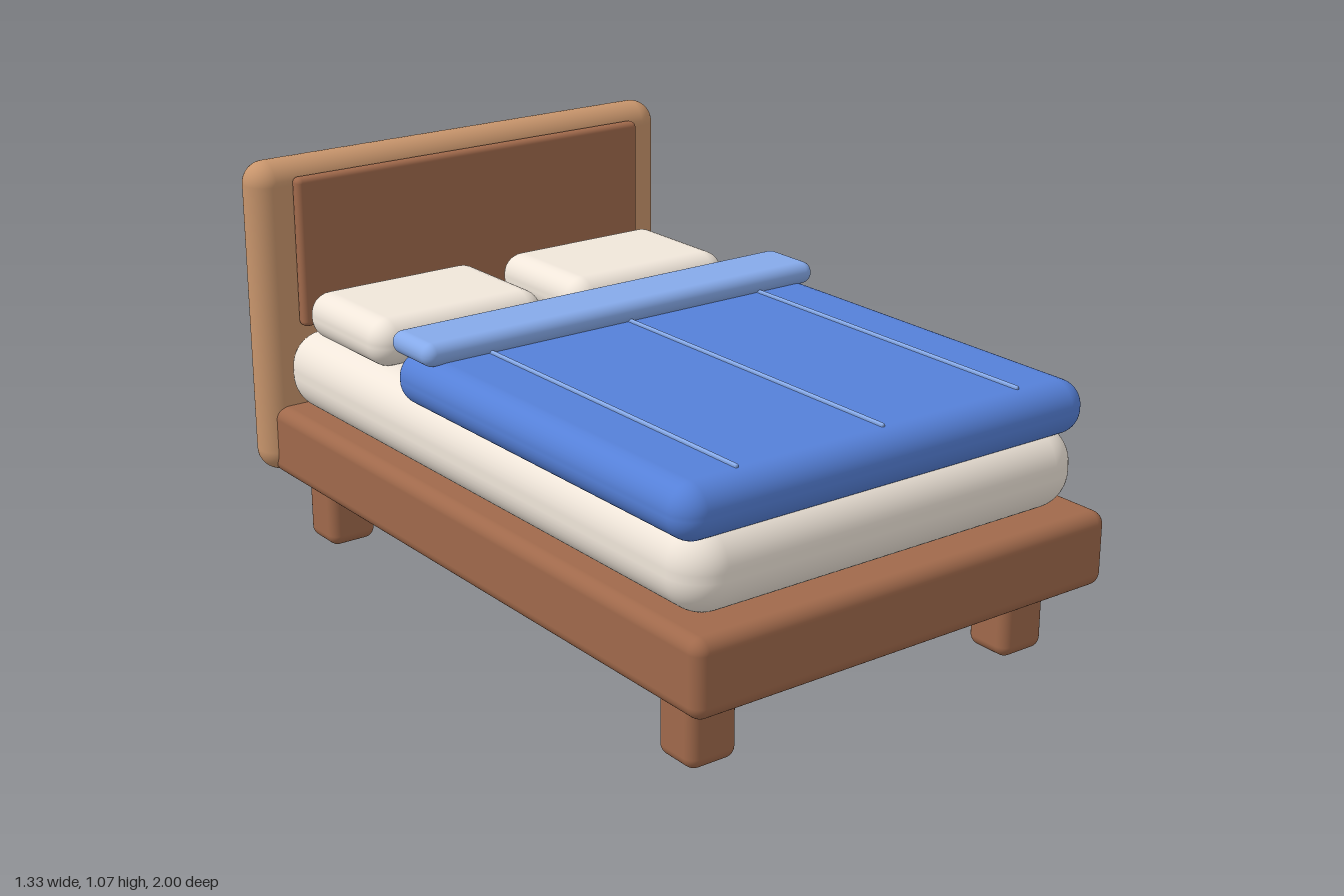
import * as THREE from 'three';
import { RoundedBoxGeometry } from 'three/addons/geometries/RoundedBoxGeometry.js';

const material = (color) => new THREE.MeshStandardMaterial({ color });

export function createModel() {
  const bed = new THREE.Group();
  bed.name = 'bed';

  const lightWood = material(0xc8956c);
  const darkWood = material(0xa0694b);
  const linen = material(0xf0e6da);
  const blue = material(0x5580d8);
  const paleBlue = material(0x86aaea);

  // Rounded block given by its [min, max] extents on each axis
  function block(name, mat, [x0, x1], [y0, y1], [z0, z1], radius, segments = 5) {
    const geometry = new RoundedBoxGeometry(x1 - x0, y1 - y0, z1 - z0, segments, radius);
    const mesh = new THREE.Mesh(geometry, mat);
    mesh.position.set((x0 + x1) / 2, (y0 + y1) / 2, (z0 + z1) / 2);
    mesh.name = name;
    bed.add(mesh);
    return mesh;
  }

  // Wooden base and headboard
  block('frame', darkWood, [-0.637, 0.637], [0.193, 0.39], [-0.93, 1], 0.035);
  block('headboard', lightWood, [-0.667, 0.667], [0.193, 1.07], [-1, -0.875], 0.0625);
  block('headboardPanel', darkWood, [-0.56, 0.56], [0.615, 1.03], [-0.88, -0.84], 0.015);

  // Four legs
  for (const [side, x] of [['left', 0.49], ['right', -0.49]]) {
    for (const [end, z] of [['Front', 0.813], ['Back', -0.806]]) {
      block(`${side}${end}Leg`, darkWood, [x - 0.07, x + 0.07], [0, 0.22], [z - 0.068, z + 0.068], 0.03);
    }
  }

  // Mattress and pillows
  block('mattress', linen, [-0.605, 0.605], [0.385, 0.605], [-0.91, 0.943], 0.1, 7);
  block('leftPillow', linen, [0.045, 0.574], [0.6, 0.73], [-0.817, -0.42], 0.06);
  block('rightPillow', linen, [-0.574, -0.045], [0.6, 0.73], [-0.817, -0.42], 0.06);

  // Blanket with its folded-back edge
  block('blanket', blue, [-0.622, 0.622], [0.575, 0.714], [-0.287, 0.935], 0.065, 6);
  block('blanketFold', paleBlue, [-0.622, 0.622], [0.706, 0.767], [-0.29, -0.104], 0.03);

  // Seams running along the blanket
  for (const [name, x] of [['leftSeam', 0.43], ['middleSeam', 0], ['rightSeam', -0.43]]) {
    block(name, paleBlue, [x - 0.005, x + 0.005], [0.708, 0.722], [-0.2, 0.873], 0.004, 2);
  }

  return bed;
}
